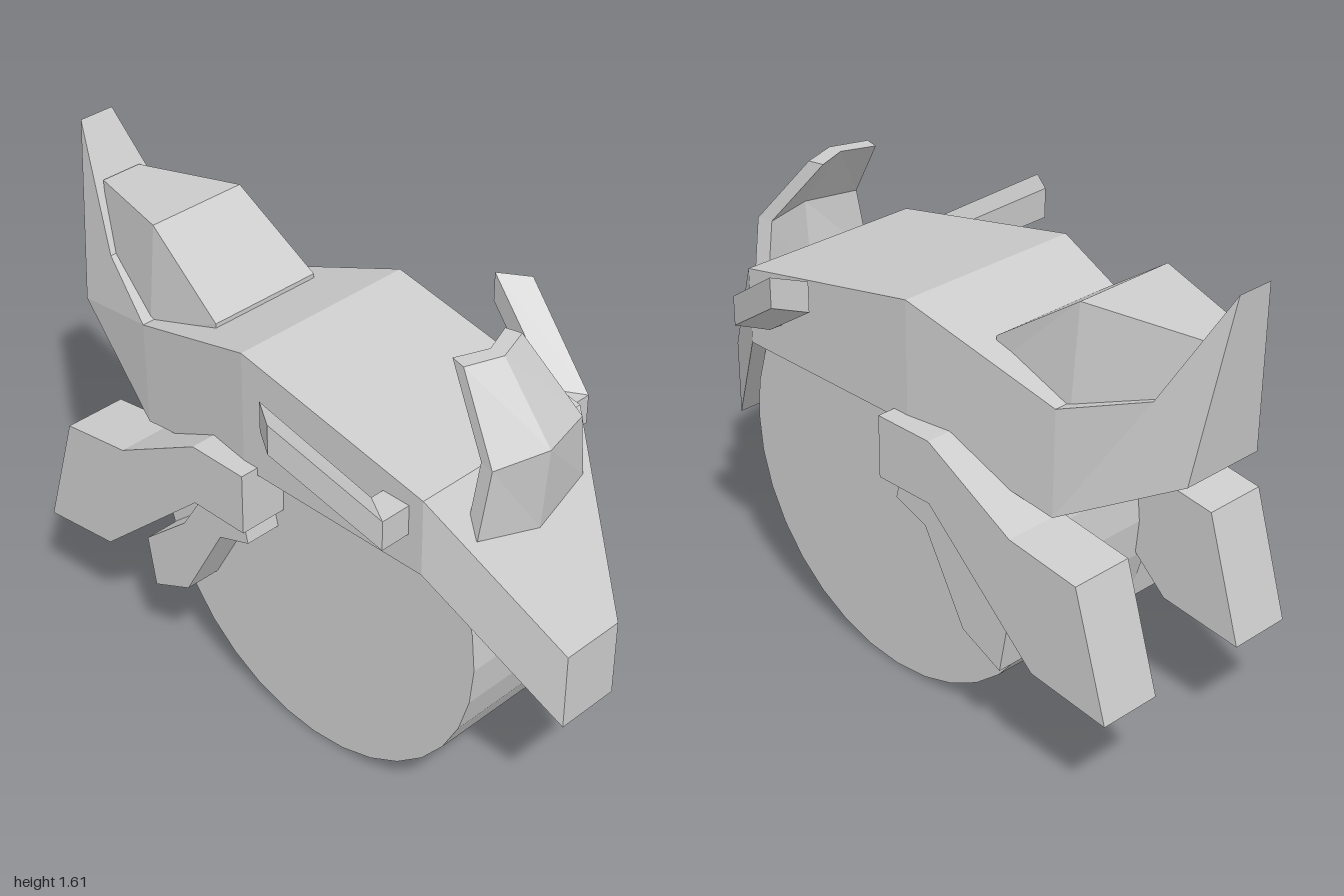
import * as THREE from 'three';

// Closed solid through a list of rings; the first ring is counter-clockwise seen from outside.
function loft(rings) {
  const pos = [];
  const tri = (a, b, c) => {
    const u = new THREE.Vector3(...a), v = new THREE.Vector3(...b), w = new THREE.Vector3(...c);
    if (v.sub(u).cross(w.sub(u)).length() > 1e-7) pos.push(...a, ...b, ...c);
  };
  const n = rings[0].length;
  for (let r = 0; r < rings.length - 1; r++) {
    for (let i = 0; i < n; i++) {
      const k = (i + 1) % n, p = rings[r], q = rings[r + 1];
      tri(p[i], q[i], q[k]);
      tri(p[i], q[k], p[k]);
    }
  }
  // End caps fan out from corner 1
  const first = rings[0], last = rings[rings.length - 1];
  for (let i = 2; i < n; i++) {
    const a = i, b = (i + 1) % n;
    tri(first[1], first[a], first[b]);
    tri(last[1], last[b], last[a]);
  }
  const g = new THREE.BufferGeometry();
  g.setAttribute('position', new THREE.Float32BufferAttribute(pos, 3));
  g.computeVertexNormals();
  return g;
}

// Symmetric four-cornered section: top z, y, half width, then bottom z, y, half width
const section = ([tz, ty, tw, bz, by, bw]) =>
  [[-bw, by, bz], [bw, by, bz], [tw, ty, tz], [-tw, ty, tz]];

// Side outline of [z, y] points extruded between x0 and x1
function sidePlate(points, x0, x1) {
  const shape = new THREE.Shape(points.map(([z, y]) => new THREE.Vector2(z, y)));
  const g = new THREE.ExtrudeGeometry(shape, { depth: x1 - x0, bevelEnabled: false });
  return g.rotateY(-Math.PI / 2).translate(x1, 0, 0);
}

export function createModel() {
  const model = new THREE.Group();
  model.name = 'hoverBike';
  const grey = new THREE.MeshStandardMaterial({ color: 0xcccccc, flatShading: true });
  grey.name = 'lightGrey';
  const add = (name, geometry) => {
    const mesh = new THREE.Mesh(geometry, grey);
    mesh.name = name;
    model.add(mesh);
    return mesh;
  };

  // Single wide wheel
  const wheel = new THREE.CylinderGeometry(0.63, 0.63, 0.43, 32).rotateZ(Math.PI / 2);
  add('wheel', wheel.translate(0, 0.635, 0.135));

  // Body from the nose to the raised tail tip
  add('body', loft([
    [1, 0.76, 0.105, 1, 0.51, 0.105],
    [0.65, 1.21, 0.315, 0.65, 0.965, 0.315],
    [-0.04, 1.35, 0.315, -0.04, 0.965, 0.315],
    [-0.545, 1.18, 0.24, -0.54, 0.84, 0.24],
    [-0.8, 1.265, 0.14, -0.93, 1.06, 0.14],
    [-1, 1.615, 0.06, -1, 1.615, 0.06],
  ].map(section)));

  // Wedge behind the rider, sunk into the body
  add('seatHump', loft([
    [-0.275, 1.285, 0.195, -0.275, 1.2, 0.195],
    [-0.56, 1.48, 0.17, -0.56, 1.15, 0.2],
    [-0.9, 1.455, 0.07, -0.82, 1.2, 0.12],
  ].map(section)));

  // Folded windshield: half width, side y and z, centre y and z, from top to bottom
  add('windshield', loft([
    [0.115, 1.51, 0.595, 1.51, 0.635],
    [0.18, 1.295, 0.765, 1.295, 0.81],
    [0.215, 1.08, 0.755, 1.03, 0.79],
  ].map(([w, y, z, cy, cz]) => {
    const t = 0.05, v = w - 0.012;
    return [[-w, y, z], [0, cy, cz], [w, y, z], [v, y, z - t], [0, cy, cz - t], [-v, y, z - t]];
  })));

  for (const s of [1, -1]) {
    const side = s > 0 ? 'left' : 'right';
    const plate = (pts, a, b) => (s > 0 ? sidePlate(pts, a, b) : sidePlate(pts, -b, -a));

    // Handlebar: short stub, then a grip swept up and back
    const rings = [
      [0.3, 0.6, 0.3, 0.505, 1.075],
      [0.415, 0.6, 0.36, 0.505, 1.075],
      [0.525, 0.285, 0.465, 0.192, 1.28],
    ].map(([ax, az, bx, bz, y]) => {
      const h = y + 0.095;
      const ring = [[s * bx, y, bz], [s * ax, y, az], [s * ax, h, az], [s * bx, h, bz]];
      return s > 0 ? ring : ring.reverse();
    });
    add(side + 'Handlebar', loft(rings));

    // Bent exhaust block
    add(side + 'Exhaust', plate([
      [0.015, 0.99], [0.015, 0.79], [-0.19, 0.79], [-0.6, 0.42],
      [-0.88, 0.385], [-0.76, 0.78], [-0.51, 0.815], [-0.19, 0.99],
    ], 0.17, 0.375));

    // Footrest under the exhaust
    add(side + 'Footrest', plate([
      [-0.03, 0.8], [-0.01, 0.717], [-0.13, 0.675], [-0.285, 0.395],
      [-0.435, 0.325], [-0.465, 0.49], [-0.29, 0.64], [-0.19, 0.8],
    ], 0.2, 0.335));
  }
  return model;
}
